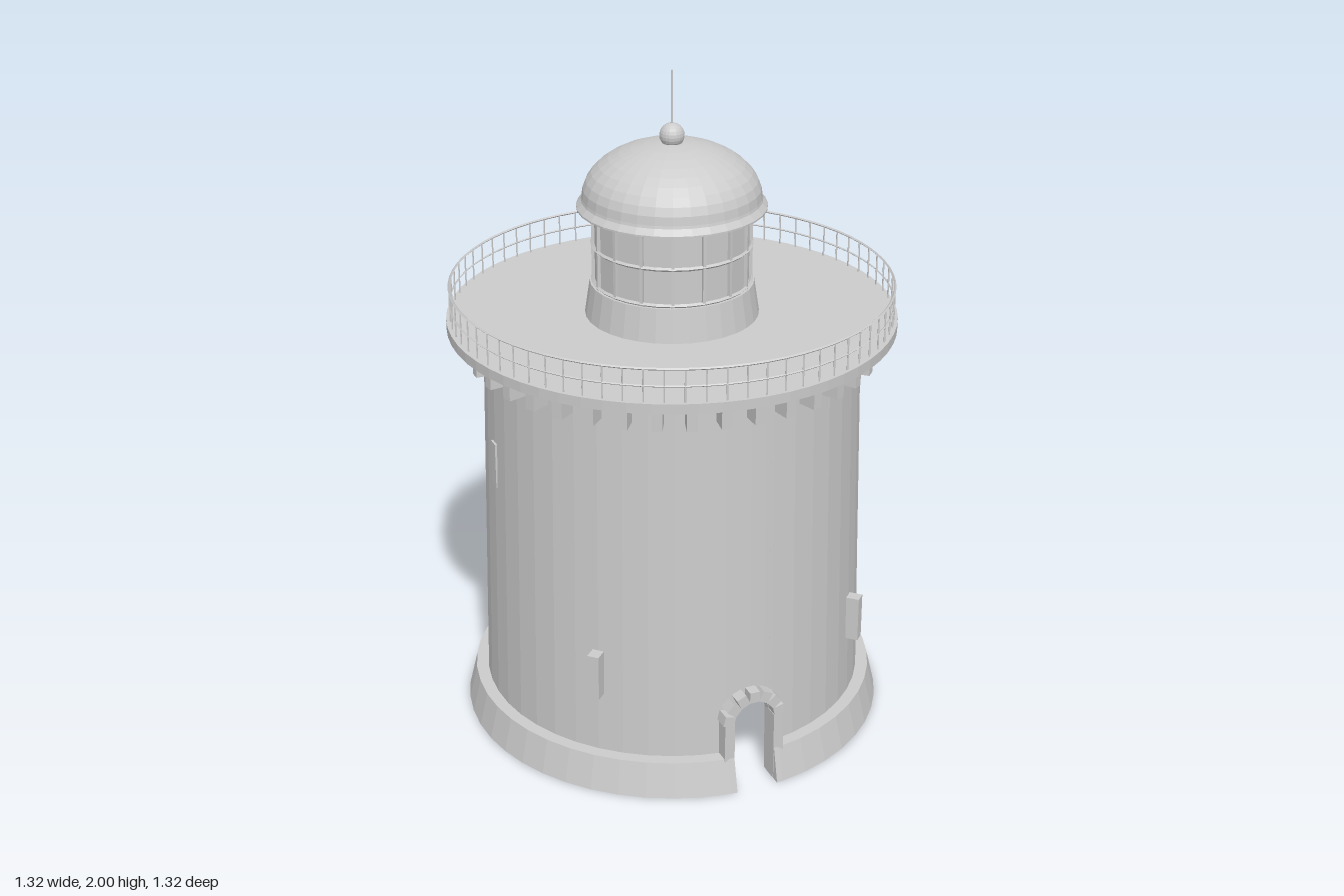
import * as THREE from 'three';

const material = new THREE.MeshStandardMaterial({ color: 0xcccccc, flatShading: true });
const DOOR = 0.064, SPRING = 0.21, SIDES = 48;

function add(parent, name, geometry, x = 0, y = 0, z = 0) {
  const mesh = new THREE.Mesh(geometry, material);
  mesh.name = name;
  mesh.position.set(x, y, z);
  parent.add(mesh);
  return mesh;
}

// Cylinder or cone frustum standing between two heights
function drum(parent, name, rTop, rBottom, y0, y1, sides) {
  return add(parent, name, new THREE.CylinderGeometry(rTop, rBottom, y1 - y0, sides), 0, (y0 + y1) / 2, 0);
}

// Horizontal ring rail
function ring(parent, name, radius, tube, y, sides) {
  return add(parent, name, new THREE.TorusGeometry(radius, tube, 4, sides).rotateX(Math.PI / 2), 0, y, 0);
}

// Box set at an angle around the axis, measured from the front
function radialBox(parent, name, angle, r0, r1, y0, y1, width) {
  const r = (r0 + r1) / 2;
  const mesh = add(parent, name, new THREE.BoxGeometry(width, y1 - y0, r1 - r0),
    Math.sin(angle) * r, (y0 + y1) / 2, Math.cos(angle) * r);
  mesh.rotation.y = angle;
  return mesh;
}

function around(count, fn) {
  for (let i = 0; i < count; i++) fn((i / count) * Math.PI * 2);
}

// Sweep a closed [radius, height] section around the axis. A slice sits at an
// angle, or at a fixed x on the front so that doorway sides stay parallel.
function sweep(slices, section, closed) {
  const rows = slices.map((s) => section(s.bottom ?? 0).map(([r, y]) =>
    s.x === undefined ? [r * Math.sin(s.a), y, r * Math.cos(s.a)] : [s.x, y, Math.sqrt(r * r - s.x * s.x)]));
  const out = [];
  const quad = (a, b, c, d) => out.push(...a, ...b, ...c, ...a, ...c, ...d);
  const n = rows[0].length;
  const last = closed ? rows.length : rows.length - 1;
  for (let i = 0; i < last; i++) {
    const p = rows[i], q = rows[(i + 1) % rows.length];
    for (let j = 0; j < n; j++) quad(p[j], q[j], q[(j + 1) % n], p[(j + 1) % n]);
  }
  if (!closed) {
    quad(...rows[0]);
    quad(...[...rows[rows.length - 1]].reverse());
  }
  const geometry = new THREE.BufferGeometry();
  geometry.setAttribute('position', new THREE.Float32BufferAttribute(out, 3));
  geometry.computeVertexNormals();
  return geometry;
}

function buildTower(parent) {
  const slices = [{ x: DOOR }];
  for (let i = 1; i < SIDES; i++) slices.push({ a: (i / SIDES) * Math.PI * 2 });
  slices.push({ x: -DOOR });

  // Plinth with a gap for the door
  add(parent, 'plinth', sweep(slices, () => [[0.64, 0], [0.615, 0.105], [0.565, 0.105], [0.565, 0]], false));

  // Hollow tapering wall with an arched doorway
  const arch = [];
  for (let i = 0; i <= 12; i++) {
    const t = (i / 12) * Math.PI;
    arch.push({ x: -DOOR * Math.cos(t), bottom: SPRING + DOOR * Math.sin(t) });
  }
  const wall = (b) => [[0.58 - 0.021 * b, b], [0.554, 1.25], [0.527, 1.25], [0.55 - 0.018 * b, b]];
  add(parent, 'towerWall', sweep([...slices, ...arch], wall, true));

  // Door surround
  const surround = new THREE.Group();
  surround.name = 'doorSurround';
  parent.add(surround);
  for (const s of [-1, 1]) {
    add(surround, 'doorJamb', new THREE.BoxGeometry(0.031, 0.219, 0.05), s * 0.078, 0.1105, 0.585);
  }
  for (let i = 0; i < 7; i++) {
    const t = ((i + 0.5) / 7) * Math.PI;
    const stone = add(surround, 'archStone', new THREE.BoxGeometry(0.034, 0.031, 0.05),
      Math.cos(t) * 0.081, SPRING + 0.004 + Math.sin(t) * 0.081, 0.585);
    stone.rotation.z = t;
  }

  // Slit windows: four low ones standing proud, the upper ones nearly flush
  for (let i = 0; i < 4; i++) {
    radialBox(parent, 'lowerWindow', Math.PI / 4 + i * Math.PI / 2, 0.53, 0.61, 0.295, 0.435, 0.035);
  }
  for (const s of [-1, 1]) radialBox(parent, 'sideWindow', s * Math.PI / 2, 0.525, 0.566, 0.81, 0.95, 0.035);
  radialBox(parent, 'backWindow', Math.PI, 0.525, 0.562, 1.0, 1.14, 0.035);
}

function buildGallery(parent) {
  drum(parent, 'galleryDeck', 0.66, 0.66, 1.245, 1.275, 64);
  around(40, (a) => radialBox(parent, 'bracket', a, 0.54, 0.612, 1.17, 1.25, 0.03));

  const railing = new THREE.Group();
  railing.name = 'railing';
  parent.add(railing);
  around(72, (a) => {
    const post = drum(railing, 'railPost', 0.0025, 0.0025, 1.27, 1.372, 5);
    post.position.x = Math.sin(a) * 0.648;
    post.position.z = Math.cos(a) * 0.648;
  });
  ring(railing, 'middleRail', 0.648, 0.003, 1.322, 72);
  ring(railing, 'topRail', 0.648, 0.004, 1.372, 72);
}

function buildLantern(parent) {
  drum(parent, 'lanternBase', 0.24, 0.256, 1.27, 1.375, 32);
  drum(parent, 'lanternGlass', 0.225, 0.225, 1.37, 1.61, 16);
  around(16, (a) => radialBox(parent, 'glazingBar', a, 0.22, 0.234, 1.37, 1.61, 0.009));
  for (const y of [1.38, 1.49, 1.597]) ring(parent, 'glazingRing', 0.231, 0.006, y, 32);

  // Dome with a flared eave
  const profile = [[0, 1.6], [0.276, 1.6], [0.276, 1.605], [0.262, 1.622]];
  for (let i = 0; i <= 10; i++) {
    const t = (i / 10) * Math.PI / 2;
    profile.push([i === 10 ? 0 : 0.26 * Math.cos(t), 1.63 + 0.16 * Math.sin(t)]);
  }
  add(parent, 'dome', new THREE.LatheGeometry(profile.map(([x, y]) => new THREE.Vector2(x, y)), 32));
  add(parent, 'finialBall', new THREE.SphereGeometry(0.036, 20, 12), 0, 1.81, 0);
  drum(parent, 'lightningRod', 0.0025, 0.004, 1.82, 2, 8);
}

export function createModel() {
  const model = new THREE.Group();
  model.name = 'lighthouse';
  for (const [name, build] of [['tower', buildTower], ['gallery', buildGallery], ['lantern', buildLantern]]) {
    const part = new THREE.Group();
    part.name = name;
    build(part);
    model.add(part);
  }
  return model;
}
